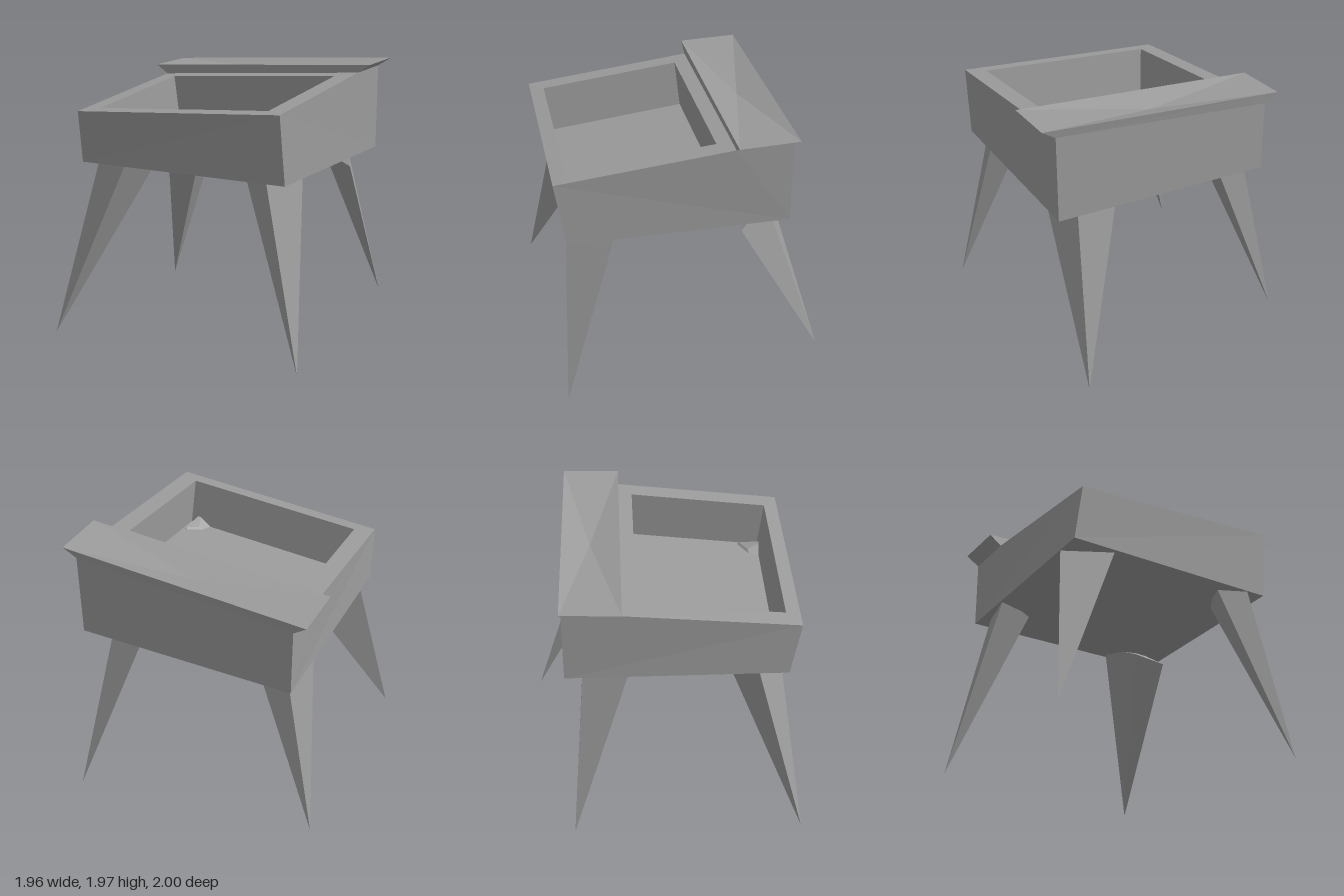
import * as THREE from 'three';
import { ConvexGeometry } from 'three/addons/geometries/ConvexGeometry.js';

const material = new THREE.MeshStandardMaterial({ color: 0x9b9b9b, flatShading: true, side: THREE.DoubleSide });

// Flat-shaded mesh from polygons; every polygon is a fan of corners
function facets(name, polygons) {
  const positions = [];
  for (const p of polygons) {
    for (let i = 1; i < p.length - 1; i++) positions.push(...p[0], ...p[i], ...p[i + 1]);
  }
  const geometry = new THREE.BufferGeometry();
  geometry.setAttribute('position', new THREE.Float32BufferAttribute(positions, 3));
  geometry.computeVertexNormals();
  const mesh = new THREE.Mesh(geometry, material);
  mesh.name = name;
  return mesh;
}

// Quads joining two rings of corners
const band = (a, b) => a.map((p, i) => {
  const j = (i + 1) % a.length;
  return [p, a[j], b[j], b[i]];
});

// Tapered leg: a pointed tip under an uneven upper end
function leg(name, tip, ring) {
  const points = [tip, ...ring].map((p) => new THREE.Vector3(...p));
  const mesh = new THREE.Mesh(new ConvexGeometry(points), material);
  mesh.name = name;
  return mesh;
}

export function createModel() {
  const group = new THREE.Group();

  // Rings run front right, front left, back left, back right
  const base = [[-0.79, 1.285, 0.85], [0.835, 1.285, 0.85], [0.835, 1.285, -0.7], [-0.79, 1.285, -0.7]];
  const rim = [[-0.77, 1.665, 0.92], [0.828, 1.767, 0.92], [0.845, 1.9, -0.3], [-0.79, 1.79, -0.3]];
  const rear = [[0.84, 1.91, -0.7], [-0.79, 1.795, -0.7]];
  const opening = [[-0.64, 1.685, 0.82], [0.695, 1.77, 0.82], [0.71, 1.881, -0.195], [-0.66, 1.788, -0.195]];
  const floor = opening.map(([x, y, z]) => [x + 0.023, y - 0.355, z - 0.038]);

  // Outer box with a sloping top
  group.add(facets('body', [
    [...base].reverse(),
    [base[0], base[1], rim[1], rim[0]],
    [base[2], rear[0], rim[2], rim[1], base[1]],
    [base[2], base[3], rear[1], rear[0]],
    [base[3], base[0], rim[0], rim[3], rear[1]],
    ...band(rim, opening),
  ]));

  // Sunken tray, square to the sloping top
  group.add(facets('tray', [...band(opening, floor), floor]));

  // Back ledge flaring outwards, with a dished top
  const ledgeFoot = [rim[3], rim[2], ...rear];
  const ledgeTop = [[-0.885, 1.855, -0.295], [0.94, 1.962, -0.295], [0.94, 1.974, -0.71], [-0.885, 1.865, -0.71]];
  const dip = [0.02, 1.855, -0.51];
  group.add(facets('backLedge', [
    ...band(ledgeFoot, ledgeTop),
    ...ledgeTop.map((p, i) => [p, ledgeTop[(i + 1) % 4], dip]),
  ]));

  // Four splayed, irregular legs; the front left one breaks through the tray floor
  group.add(
    leg('frontRightLeg', [-0.975, 0, 0.995],
      [[-0.78, 1.32, 0.635], [-0.44, 1.31, 0.815], [-0.462, 1.195, 0.44]]),
    leg('frontLeftLeg', [0.975, 0.012, 0.92],
      [[0.81, 1.27, 0.53], [0.65, 1.48, 0.828], [0.47, 1.34, 0.74], [0.58, 1.25, 0.535],
        [0.61, 1.435, 0.7], [0.695, 1.445, 0.64]]),
    leg('backLeftLeg', [0.775, 0.052, -1.0],
      [[0.765, 1.18, -0.38], [0.64, 1.34, -0.58], [0.37, 1.34, -0.65], [0.55, 1.25, -0.46]]),
    leg('backRightLeg', [-0.98, 0.012, -0.675],
      [[-0.77, 1.32, -0.25], [-0.7, 1.36, -0.57], [-0.48, 1.33, -0.57], [-0.5, 1.27, -0.35]]),
  );
  return group;
}
